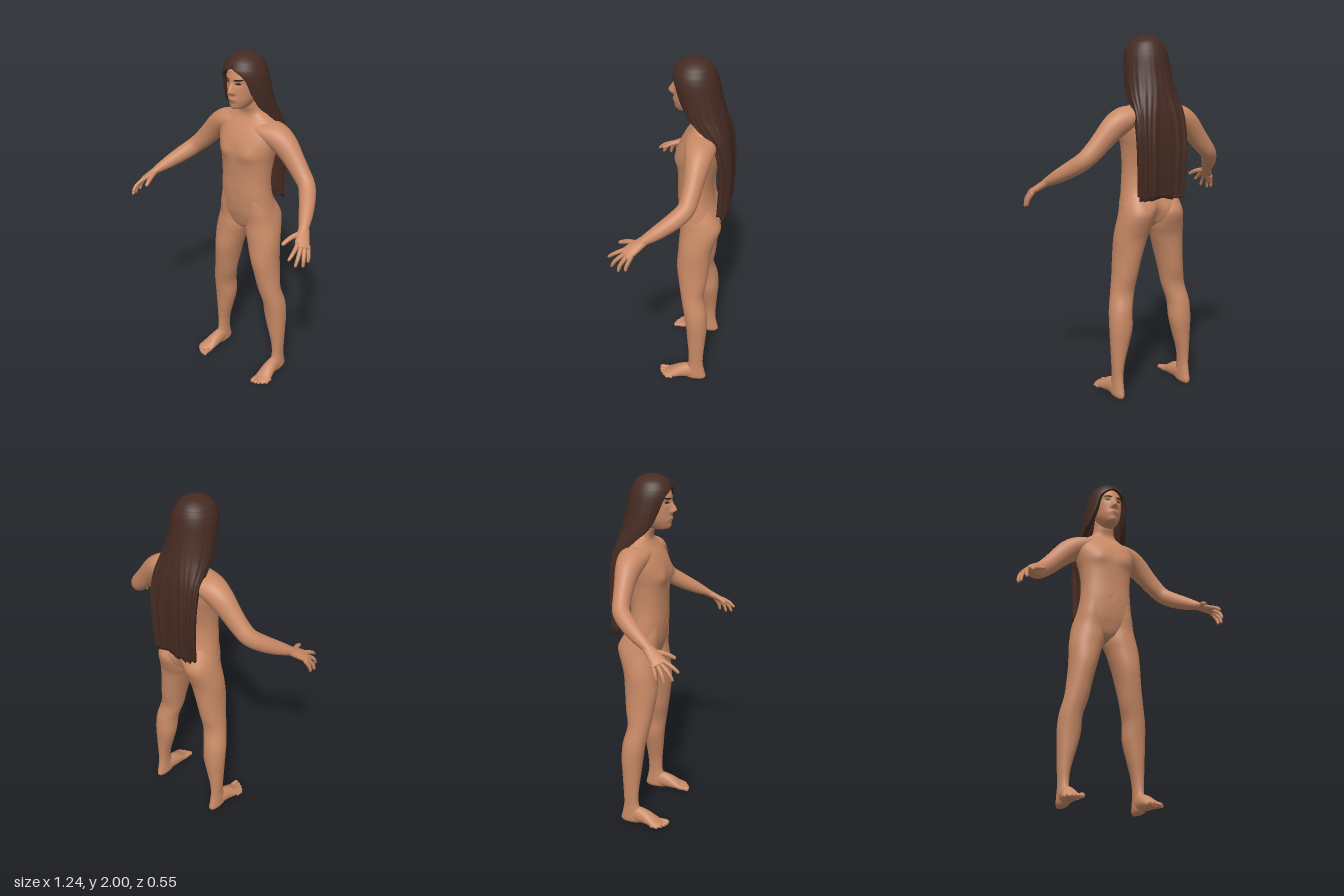
import * as THREE from 'three';

const mat = (name, color, side = THREE.FrontSide) => {
  const m = new THREE.MeshStandardMaterial({ color, side });
  m.name = name;
  return m;
};

// Smooth (Catmull-Rom) value of a table of rows at position t
function rowAt(rows, t) {
  const n = rows.length - 1, i = Math.min(n - 1, Math.floor(t)), f = t - i;
  const [a, b, c, d] = [i - 1, i, i + 1, i + 2].map(k => rows[Math.max(0, Math.min(n, k))]);
  return b.map((_, k) => 0.5 * (2 * b[k] + (c[k] - a[k]) * f +
    (2 * a[k] - 5 * b[k] + 4 * c[k] - d[k]) * f * f + (3 * b[k] - a[k] - 3 * c[k] + d[k]) * f * f * f));
}
const refine = (rows, sub) =>
  Array.from({ length: (rows.length - 1) * sub + 1 }, (_, i) => rowAt(rows, i / sub));

// Skin closed rings of points into one smooth surface with capped ends
function skinRings(rings) {
  const n = rings[0].length, pos = rings.flat(2), index = [];
  for (let i = 0; i < rings.length - 1; i++) for (let j = 0; j < n; j++) {
    const a = i * n + j, b = i * n + (j + 1) % n;
    index.push(a, b, b + n, a, b + n, a + n);
  }
  const cap = (ring, start, flip) => {
    const c = pos.length / 3;
    for (let k = 0; k < 3; k++) pos.push(ring.reduce((s, p) => s + p[k], 0) / n);
    for (let j = 0; j < n; j++) {
      const a = start + j, b = start + (j + 1) % n;
      index.push(c, flip ? b : a, flip ? a : b);
    }
  };
  cap(rings[0], 0, true);
  cap(rings[rings.length - 1], (rings.length - 1) * n, false);
  const g = new THREE.BufferGeometry();
  g.setAttribute('position', new THREE.Float32BufferAttribute(pos, 3));
  g.setIndex(index);
  g.computeVertexNormals();
  return g;
}

// Level rings from the bottom up, from rows of [y, front z, back z, inner x, outer x]
function stack(rows, seg, power = 1, bump = null, sub = 5) {
  const pw = v => Math.sign(v) * Math.abs(v) ** power;
  return skinRings(refine(rows, sub).map(([y, f, b, x0, x1]) => Array.from({ length: seg }, (_, j) => {
    const a = j / seg * Math.PI * 2;
    const x = (x0 + x1) / 2 + (x1 - x0) / 2 * pw(Math.sin(a));
    const z = (f + b) / 2 + (f - b) / 2 * pw(Math.cos(a));
    return [x, y, z + (bump ? bump(x, y, Math.cos(a)) : 0)];
  })));
}

// Rings across a path, from rows of [x, y, z, half width, half height]
function sweep(rows, seg, ref, sub = 4) {
  const fine = refine(rows, sub), R = new THREE.Vector3(...ref);
  const P = fine.map(r => new THREE.Vector3(r[0], r[1], r[2]));
  return skinRings(fine.map((r, i) => {
    const T = P[Math.min(i + 1, P.length - 1)].clone().sub(P[Math.max(i - 1, 0)]).normalize();
    const U = R.clone().cross(T).normalize(), V = T.clone().cross(U);
    return Array.from({ length: seg }, (_, j) => {
      const a = j / seg * Math.PI * 2;
      return P[i].clone().addScaledVector(U, r[3] * Math.cos(a)).addScaledVector(V, r[4] * Math.sin(a)).toArray();
    });
  }));
}

function mirrored(g) {
  const m = g.clone().scale(-1, 1, 1), ix = m.index.array;
  for (let i = 0; i < ix.length; i += 3) [ix[i], ix[i + 1]] = [ix[i + 1], ix[i]];
  m.computeVertexNormals();
  return m;
}

const hill = (x, y, cx, cy, sx, sy) => Math.exp(-(((x - cx) / sx) ** 2) - ((y - cy) / sy) ** 2);

const HEAD = [[1.708, 0.012, -0.06, -0.025, 0.025], [1.718, 0.034, -0.09, -0.042, 0.042],
  [1.76, 0.044, -0.13, -0.067, 0.067], [1.82, 0.045, -0.16, -0.081, 0.081], [1.88, 0.045, -0.165, -0.085, 0.085],
  [1.93, 0.032, -0.155, -0.078, 0.078], [1.965, -0.01, -0.12, -0.05, 0.05], [1.98, -0.05, -0.08, -0.015, 0.015]];

// Nose, eye sockets, brow, lips and chin
const faceBump = (x, y) => {
  const ax = Math.abs(x);
  return 0.031 * hill(x, y, 0, 1.812, 0.015, y > 1.812 ? 0.035 : 0.013)
    + 0.01 * hill(ax, y, 0.015, 1.806, 0.009, 0.01)
    - 0.008 * hill(ax, y, 0.035, 1.855, 0.02, 0.014) + 0.004 * hill(ax, y, 0.035, 1.882, 0.03, 0.01)
    + 0.008 * hill(x, y, 0, 1.766, 0.028, 0.015) + 0.005 * hill(x, y, 0, 1.726, 0.022, 0.014);
};
function faceZ(x, y) {
  let lo = 0, hi = HEAD.length - 1;
  for (let k = 0; k < 30; k++) { const m = (lo + hi) / 2; if (rowAt(HEAD, m)[0] < y) lo = m; else hi = m; }
  const [, f, b, , w] = rowAt(HEAD, lo);
  return (f + b) / 2 + (f - b) / 2 * Math.sqrt(Math.max(0, 1 - (x / w) ** 2)) + faceBump(x, y);
}
// Thin painted oval lying on the face
function facePatch(cx, cy, w, h, lift, tilt = 0) {
  const g = new THREE.RingGeometry(0.001, 1, 20, 4), p = g.attributes.position;
  for (let i = 0; i < p.count; i++) {
    const x = cx + p.getX(i) * w, y = cy + p.getY(i) * h + p.getX(i) * tilt;
    p.setXYZ(i, x, y, faceZ(x, y) + lift);
  }
  g.computeVertexNormals();
  return g;
}

// Long hair: a shell open at the face, flattening into a sheet down the back
// rows of [y, centre z, half width, half depth, opening angle, squareness]
function hairGeometry() {
  const rows = [[1.996, -0.062, 0.02, 0.025, 0, 1], [1.985, -0.062, 0.053, 0.06, 0, 1], [1.96, -0.062, 0.087, 0.093, 0, 1],
    [1.935, -0.062, 0.104, 0.109, 0.02, 1], [1.915, -0.063, 0.113, 0.116, 0.38, 1], [1.88, -0.068, 0.122, 0.121, 0.66, 1],
    [1.8, -0.085, 0.132, 0.12, 0.8, 1], [1.72, -0.11, 0.139, 0.115, 0.98, 0.95], [1.66, -0.145, 0.144, 0.095, 1.28, 0.8],
    [1.58, -0.198, 0.148, 0.06, 1.48, 0.6], [1.45, -0.226, 0.15, 0.046, 1.53, 0.5], [1.3, -0.228, 0.145, 0.045, 1.53, 0.5],
    [1.14, -0.22, 0.14, 0.043, 1.53, 0.5]];
  const n = 90, fine = refine(rows, 5).reverse();
  return skinRings(fine.map(([y, cz, rx, rz, open, pw], i) => {
    const low = THREE.MathUtils.clamp((1.93 - y) / 0.5, 0, 1);
    const side = inner => Array.from({ length: n }, (_, j) => {
      const a = open + (2 * Math.PI - 2 * open) * j / (n - 1), s = Math.sin(a), c = Math.cos(a);
      const strand = inner ? -Math.min(0.028, rx * 0.6, rz * 0.6)
        : low * (0.003 * Math.sin(a * 26) + 0.003 * Math.sin(a * 11 + 1));
      const jag = i === 0 ? 0.012 * Math.sin(a * 13) : 0;
      return [(rx + strand) * Math.sign(s) * Math.abs(s) ** pw, y + jag,
        cz + (rz + strand) * Math.sign(c) * Math.abs(c) ** pw];
    });
    return [...side(false), ...side(true).reverse()];
  }));
}

export function createModel() {
  const model = new THREE.Group();
  model.name = 'figure';
  const skin = mat('skin', 0xc98a66), hair = mat('hair', 0x452b22, THREE.DoubleSide);
  const dark = mat('browAndEye', 0x2e1b15), lip = mat('lip', 0xa9694f);
  const add = (name, g, m) => {
    const mesh = new THREE.Mesh(g, m);
    mesh.name = name;
    model.add(mesh);
  };
  const pair = (name, g, m = skin) => {
    add('left' + name, g, m);
    add('right' + name, mirrored(g), m);
  };

  // Torso and neck
  const torso = [[0.955, -0.07, -0.13, 0.015], [0.975, -0.035, -0.165, 0.05], [1.0, -0.018, -0.19, 0.11],
    [1.05, -0.002, -0.21, 0.165], [1.1, 0.01, -0.212, 0.17], [1.2, 0.02, -0.185, 0.155], [1.3, 0.02, -0.18, 0.149],
    [1.4, 0.024, -0.2, 0.157], [1.46, 0.025, -0.212, 0.17], [1.52, 0.015, -0.216, 0.18], [1.58, -0.015, -0.212, 0.178],
    [1.62, -0.045, -0.205, 0.15], [1.645, -0.06, -0.195, 0.115], [1.67, -0.062, -0.185, 0.077],
    [1.71, -0.05, -0.175, 0.061], [1.78, -0.04, -0.165, 0.056]].map(([y, f, b, w]) => [y, f, b, -w, w]);
  add('torso', stack(torso, 64, 0.9, (x, y, c) => {
    const ax = Math.abs(x);
    return c > 0
      ? c * (0.016 * hill(ax, y, 0.085, 1.455, 0.055, 0.045) - 0.006 * hill(x, y, 0, 1.2, 0.012, 0.012))
      : -c * (0.03 * hill(x, y, 0, 1.02, 0.018, 0.075) + 0.012 * hill(x, y, 0, 1.35, 0.03, 0.2)
        - 0.02 * hill(ax, y, 0.085, 1.045, 0.06, 0.06));
  }), skin);

  // Legs, with hips and buttocks running up into the torso
  pair('Leg', stack([[0.002, -0.06, -0.18, 0.198, 0.242], [0.02, -0.05, -0.187, 0.19, 0.25], [0.06, -0.06, -0.178, 0.19, 0.25],
    [0.12, -0.08, -0.168, 0.191, 0.248], [0.2, -0.08, -0.17, 0.182, 0.252], [0.3, -0.07, -0.178, 0.155, 0.256],
    [0.4, -0.06, -0.185, 0.13, 0.26], [0.5, -0.045, -0.178, 0.125, 0.255], [0.6, -0.025, -0.156, 0.1, 0.235],
    [0.7, -0.008, -0.17, 0.08, 0.221], [0.8, 0.005, -0.18, 0.055, 0.213], [0.9, 0, -0.19, 0.025, 0.21],
    [0.96, -0.002, -0.208, 0.006, 0.202], [1.02, -0.006, -0.229, 0.002, 0.19], [1.06, -0.004, -0.231, 0.004, 0.181],
    [1.11, 0, -0.205, 0.014, 0.169], [1.18, 0, -0.165, 0.03, 0.145]], 36, 0.95));

  // Feet and toes
  pair('Foot', sweep([[0.22, 0.04, -0.15, 0.024, 0.036], [0.22, 0.052, -0.1, 0.032, 0.05], [0.222, 0.045, -0.04, 0.039, 0.043],
    [0.228, 0.03, 0.01, 0.046, 0.028], [0.231, 0.022, 0.038, 0.047, 0.02], [0.229, 0.02, 0.055, 0.041, 0.016],
    [0.225, 0.018, 0.066, 0.026, 0.01]], 28, [0, 1, 0]));
  for (let i = 0; i < 5; i++) {
    const x = 0.198 + i * 0.0175 + (i ? 0.004 : 0), tip = 0.1 - i * i * 0.0028, r = i ? 0.0095 : 0.014;
    pair('Toe' + (i + 1), sweep([[x, 0.02, 0.03 - i * 0.005, r, r], [x, 0.02, tip - 0.02, r, r],
      [x, 0.015, tip - 0.006, r, r * 0.9], [x, 0.013, tip, r * 0.4, r * 0.4]], 12, [0, 1, 0]));
  }

  // Arms, with the shoulder starting inside the chest
  pair('Arm', sweep([[0.05, 1.59, -0.12, 0.085, 0.045], [0.12, 1.575, -0.12, 0.086, 0.058], [0.18, 1.555, -0.122, 0.078, 0.068],
    [0.235, 1.517, -0.122, 0.066, 0.067], [0.29, 1.46, -0.118, 0.054, 0.059], [0.345, 1.4, -0.111, 0.048, 0.053],
    [0.398, 1.348, -0.095, 0.046, 0.048], [0.445, 1.302, -0.04, 0.044, 0.045], [0.49, 1.258, 0.03, 0.037, 0.037],
    [0.524, 1.224, 0.09, 0.027, 0.025], [0.54, 1.207, 0.114, 0.022, 0.018]], 32, [0, 1, 0]));

  // Hands: palm, four fingers and thumb
  pair('Palm', sweep([[0.505, 1.243, 0.057, 0.02, 0.018], [0.523, 1.225, 0.088, 0.027, 0.022], [0.54, 1.206, 0.115, 0.032, 0.02],
    [0.565, 1.178, 0.155, 0.039, 0.017], [0.582, 1.161, 0.178, 0.036, 0.011]], 24, [-0.52, -0.82, -0.2]));
  const digits = {
    IndexFinger: [[0.555, 1.182, 0.175], [0.567, 1.155, 0.232], [0.565, 1.125, 0.27]],
    MiddleFinger: [[0.57, 1.172, 0.17], [0.59, 1.13, 0.222], [0.592, 1.088, 0.247]],
    RingFinger: [[0.582, 1.165, 0.16], [0.605, 1.118, 0.194], [0.612, 1.077, 0.207]],
    LittleFinger: [[0.59, 1.165, 0.14], [0.61, 1.12, 0.16], [0.614, 1.087, 0.168]],
    Thumb: [[0.532, 1.208, 0.115], [0.508, 1.195, 0.178], [0.492, 1.17, 0.23]],
  };
  for (const [name, [a, b, c]] of Object.entries(digits)) {
    const near = b.map((v, k) => v + (c[k] - v) * 0.85), r = name === 'Thumb' ? 0.013 : 0.0105;
    pair(name, sweep([[...a, r * 1.15, r * 1.15], [...b, r, r], [...near, r * 0.75, r * 0.75],
      [...c, r * 0.3, r * 0.3]], 12, [1, 0, 0]));
  }

  // Head and face
  add('head', stack(HEAD, 96, 1, (x, y, c) => (c > 0 ? faceBump(x, y) * Math.min(1, c * 3) : 0), 10), skin);
  pair('Brow', facePatch(0.037, 1.877, 0.023, 0.0045, 0.003, 0.003), dark);
  pair('Eye', facePatch(0.035, 1.855, 0.014, 0.005, 0.003), dark);
  add('lips', facePatch(0, 1.766, 0.025, 0.005, 0.002), lip);

  // Hair, with a crown closing it over the top of the head
  add('hair', hairGeometry(), hair);
  add('hairCrown', stack([[1.933, 0.044, -0.168, -0.102, 0.102], [1.96, 0.033, -0.157, -0.089, 0.089],
    [1.985, 0, -0.124, -0.055, 0.055], [1.997, -0.035, -0.089, -0.023, 0.023], [2.0, -0.057, -0.067, -0.004, 0.004]], 64), hair);
  return model;
}
